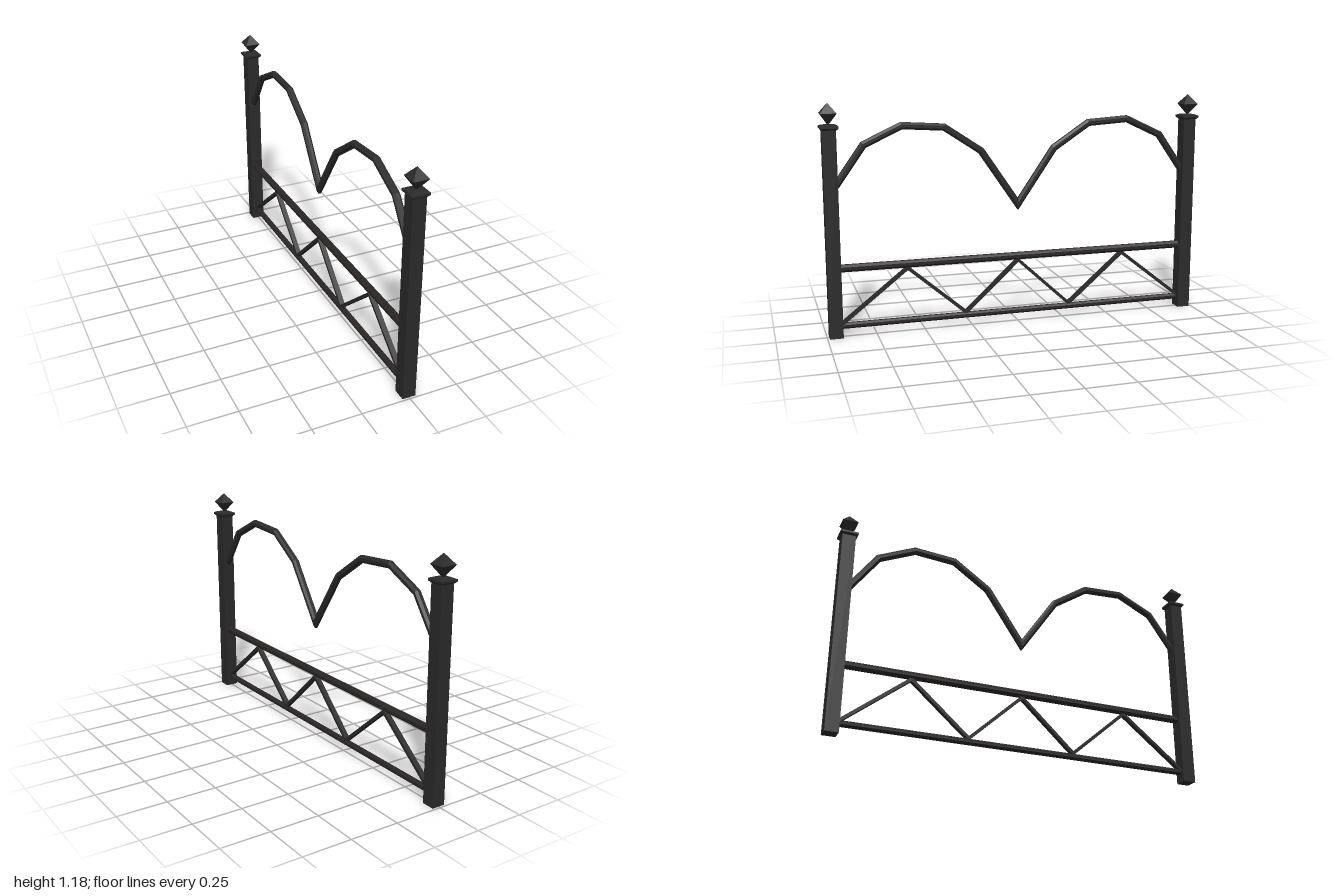
import * as THREE from 'three';

const iron = new THREE.MeshStandardMaterial({ color: 0x2a2a2a, flatShading: true });
const railIron = new THREE.MeshStandardMaterial({ color: 0x2a2625, flatShading: true });

function add(parent, name, geometry, material = iron) {
  const mesh = new THREE.Mesh(geometry, material);
  mesh.name = name;
  parent.add(mesh);
  return mesh;
}

// Square turned profile: points are [half width, height]
function squareLathe(profile) {
  const points = profile.map(([h, y]) => new THREE.Vector2(h * Math.SQRT2, y));
  return new THREE.LatheGeometry(points, 4).rotateY(Math.PI / 4);
}

// Mitred bar following a [z, y] path in the x = 0 plane
function mitredBar(path, radius, sides) {
  const pts = path.map(([z, y]) => new THREE.Vector2(z, y));
  const positions = [], index = [];
  pts.forEach((p, i) => {
    const before = p.clone().sub(pts[Math.max(i - 1, 0)]).normalize();
    const after = pts[Math.min(i + 1, pts.length - 1)].clone().sub(p).normalize();
    const t = before.clone().add(after).normalize();
    const stretch = 1 / t.dot(i ? before : after);
    for (let j = 0; j < sides; j++) {
      const a = ((j + 0.5) / sides) * Math.PI * 2;
      const s = Math.sin(a) * radius * stretch;
      positions.push(Math.cos(a) * radius, p.y - t.x * s, p.x + t.y * s);
      if (i < pts.length - 1) {
        const k = (j + 1) % sides;
        const A = i * sides + j, B = i * sides + k;
        index.push(A, A + sides, B + sides, A, B + sides, B);
      }
    }
  });
  // End caps
  const last = (pts.length - 1) * sides;
  for (let j = 1; j < sides - 1; j++) {
    index.push(0, j, j + 1, last, last + j + 1, last + j);
  }
  const g = new THREE.BufferGeometry();
  g.setAttribute('position', new THREE.Float32BufferAttribute(positions, 3));
  g.setIndex(index);
  g.computeVertexNormals();
  return g;
}

export function createModel() {
  const model = new THREE.Group();
  model.name = 'bedEndFrame';

  // Corner posts with cap and diamond finial
  for (const side of [1, -1]) {
    const post = new THREE.Group();
    post.name = side > 0 ? 'frontPost' : 'backPost';
    post.position.z = side * 0.955;
    add(post, 'postShaft', new THREE.BoxGeometry(0.068, 1.05, 0.068).translate(0, 0.525, 0));
    add(post, 'postCap', squareLathe([
      [0, 1.045], [0.036, 1.045], [0.045, 1.054], [0.045, 1.064], [0.03, 1.07], [0, 1.073],
    ]));
    add(post, 'finial', squareLathe([[0, 1.066], [0.04, 1.126], [0, 1.176]]));
    model.add(post);
  }

  // Double arch dipping to a point in the middle
  const half = [[0.93, 0.768], [0.79, 0.966], [0.6, 1.055], [0.385, 1.041], [0.195, 0.915]];
  const mirrored = half.map(([z, y]) => [-z, y]).reverse();
  add(model, 'doubleArch', mitredBar([...half, [0, 0.63], ...mirrored], 0.019, 8));

  // Horizontal rails
  for (const [name, y, r] of [['upperRail', 0.353, 0.02], ['lowerRail', 0.056, 0.016]]) {
    const rail = new THREE.CylinderGeometry(r, r, 1.86, 8).rotateY(Math.PI / 8).rotateX(Math.PI / 2);
    add(model, name, rail, railIron).position.y = y;
  }

  // Zigzag struts between the rails
  const zig = [[0.925, 0.065], [0.585, 0.332], [0.283, 0.072], [0, 0.332],
    [-0.283, 0.072], [-0.585, 0.332], [-0.925, 0.065]];
  const struts = new THREE.Group();
  struts.name = 'zigzagStruts';
  for (let i = 0; i < zig.length - 1; i++) {
    const [z0, y0] = zig[i], [z1, y1] = zig[i + 1];
    const length = Math.hypot(z1 - z0, y1 - y0);
    const strut = add(struts, 'strut', new THREE.BoxGeometry(0.026, 0.016, length));
    strut.position.set(0, (y0 + y1) / 2, (z0 + z1) / 2);
    strut.rotation.x = -Math.atan2(y1 - y0, z1 - z0);
  }
  model.add(struts);

  return model;
}
